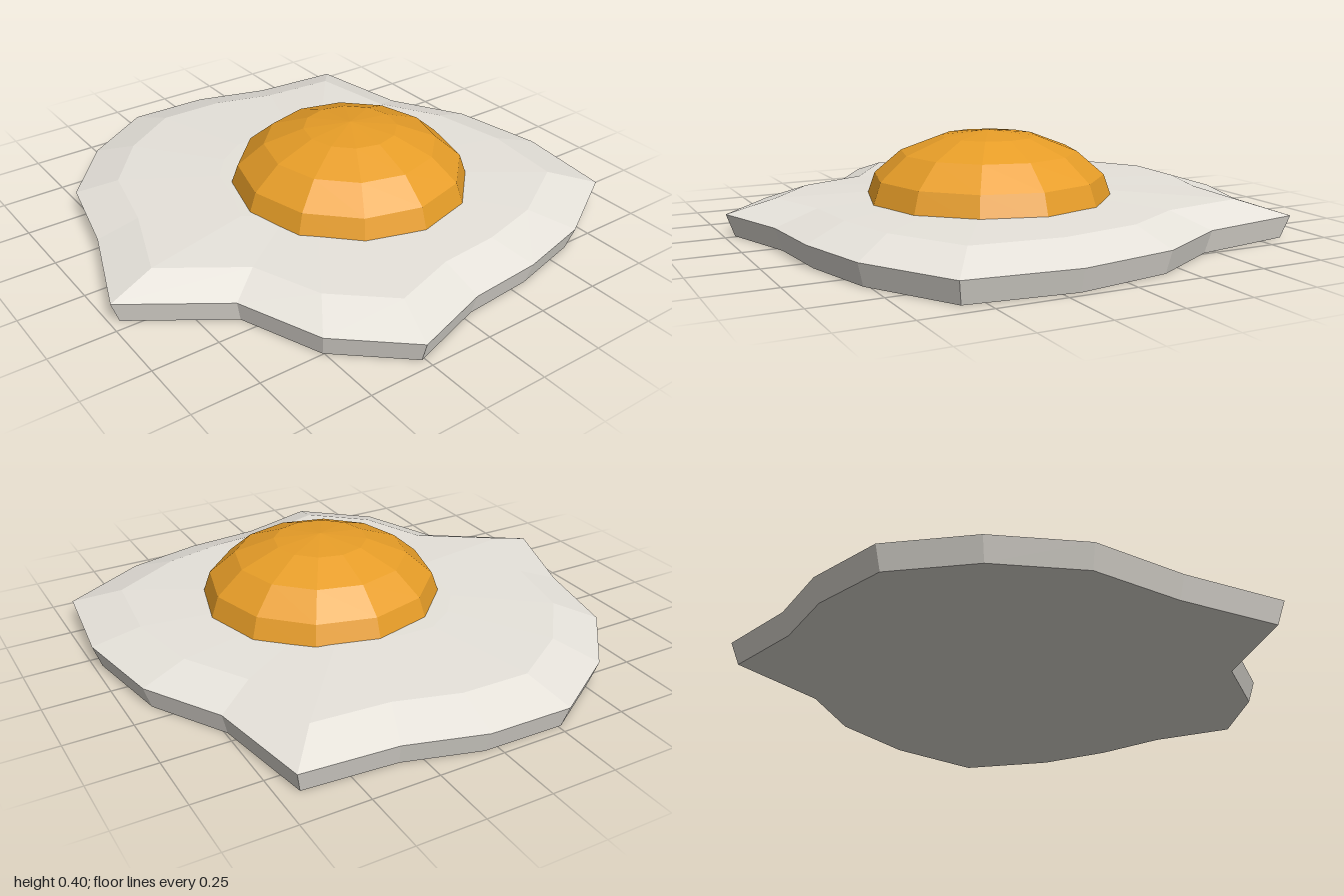
import * as THREE from 'three';

// Irregular rim of the egg white, as [x, z]
const RIM = [
  [0.99, 0.27], [0.77, 0.52], [0.45, 0.645], [0.21, 0.995], [-0.18, 0.855], [-0.54, 0.775],
  [-0.81, 0.555], [-0.995, 0.27], [-0.99, -0.05], [-0.905, -0.34], [-0.88, -0.695], [-0.465, -0.765],
  [-0.175, -0.935], [0.195, -1.0], [0.595, -0.955], [0.79, -0.625], [0.865, -0.33], [0.89, -0.04],
];

// Cross-section from underside centre to top centre, as [rim scale, y]
const SECTION = [[0, 0], [0.97, 0], [1, 0.085], [0.82, 0.14], [0.4, 0.155], [0, 0.155]];

// Join scaled copies of the rim into one closed shell
function createShell(rim, section) {
  const positions = [];
  const index = [];
  const n = rim.length;
  for (const [s, y] of section) {
    for (const [x, z] of rim) positions.push(x * s, y, z * s);
  }
  for (let r = 0; r < section.length - 1; r++) {
    for (let i = 0; i < n; i++) {
      const j = (i + 1) % n;
      const a = r * n + i, b = r * n + j, c = a + n, d = b + n;
      if (section[r][0] > 0) index.push(a, c, b);
      if (section[r + 1][0] > 0) index.push(b, c, d);
    }
  }
  const geometry = new THREE.BufferGeometry();
  geometry.setAttribute('position', new THREE.Float32BufferAttribute(positions, 3));
  geometry.setIndex(index);
  return flat(geometry);
}

// Faceted normals
function flat(geometry) {
  const g = geometry.toNonIndexed();
  g.computeVertexNormals();
  return g;
}

export function createModel() {
  const group = new THREE.Group();
  group.name = 'friedEgg';

  const whiteMaterial = new THREE.MeshStandardMaterial({ color: 0xf2eee6 });
  whiteMaterial.name = 'eggWhite';
  const yolkMaterial = new THREE.MeshStandardMaterial({ color: 0xf2a52a });
  yolkMaterial.name = 'yolkOrange';

  // Egg white
  const white = new THREE.Mesh(createShell(RIM, SECTION), whiteMaterial);
  white.name = 'eggWhite';
  group.add(white);

  // Yolk: flattened dome sunk slightly into the white
  const dome = new THREE.SphereGeometry(1, 12, 4, 0, Math.PI * 2, 0, Math.PI / 2);
  dome.scale(0.47, 0.27, 0.47);
  const yolk = new THREE.Mesh(flat(dome), yolkMaterial);
  yolk.name = 'yolk';
  yolk.position.set(0.08, 0.125, -0.105);
  group.add(yolk);

  return group;
}
